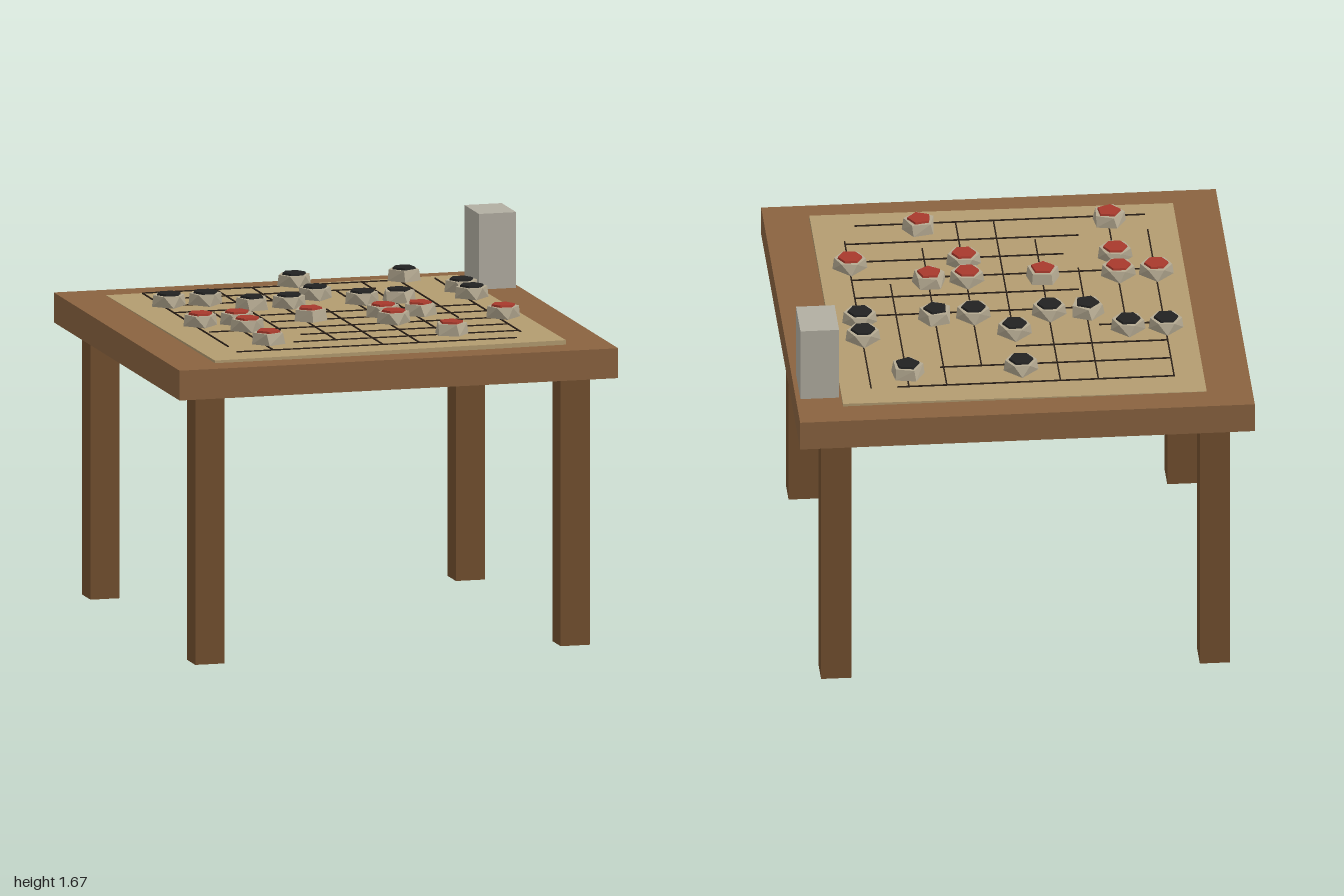
import * as THREE from 'three';
import { ConvexGeometry } from 'three/addons/geometries/ConvexGeometry.js';

const mat = (color) => new THREE.MeshStandardMaterial({ color, flatShading: true });
const WOOD = mat(0x8a6340), LEG = mat(0x73502f), BOARD = mat(0xb39c70), INK = mat(0x2a2018);
const STONE = mat(0xb5aa92), RED = mat(0xa8392c), BLACK = mat(0x222222), BOX = mat(0xb2aea2);

function box(name, w, h, d, x, y, z, material) {
  const mesh = new THREE.Mesh(new THREE.BoxGeometry(w, h, d), material);
  mesh.name = name;
  mesh.position.set(x, y, z);
  return mesh;
}

// Small seeded generator for the rough-cut pieces
let seed = 7;
const rand = () => (seed = (seed * 16807) % 2147483647) / 2147483647;

const ring = (n, r, y, turn) => Array.from({ length: n }, (_, i) => {
  const a = turn + (i / n) * Math.PI * 2;
  return new THREE.Vector3(r * Math.cos(a), y, r * Math.sin(a));
});

// Faceted playing piece with a coloured cap
function makePiece(col, z, sides, capMaterial) {
  const piece = new THREE.Group();
  piece.name = 'piece';
  const turn = sides === 5 ? rand() * 6 : 0;
  const body = new THREE.Mesh(new ConvexGeometry([
    ...ring(sides === 5 ? 5 : 4, 0.077, 0, turn),
    ...ring(sides, 0.07, 0.05, turn + rand() * 0.25),
  ]), STONE);
  body.name = 'pieceBody';
  const cap = new THREE.Mesh(new THREE.CylinderGeometry(0.052, 0.056, 0.014, sides), capMaterial);
  cap.name = 'pieceCap';
  cap.position.y = 0.052;
  cap.rotation.y = Math.PI / 2 - turn;
  piece.add(body, cap);
  piece.position.set(col / 6, 1.373, z);
  return piece;
}

export function createModel() {
  const model = new THREE.Group();
  model.name = 'boardGameTable';

  // Table
  model.add(box('tableTop', 2, 0.133, 2, 0, 1.2665, 0, WOOD));
  for (const sx of [-1, 1]) for (const sz of [-1, 1]) {
    model.add(box('leg', 0.133, 1.2, 0.133, sx * 0.833, 0.6, sz * 0.833, LEG));
  }

  // Slightly tilted board sheet
  const board = box('board', 1.6, 0.02, 1.73, 0, 1.335, 0, BOARD);
  board.rotation.set(-0.006, 0, 0.007);
  model.add(board);

  // Worn grid lines: [start, end] of each row, then of each column
  const rows = [[-0.667, 0.55], [-0.667, 0.35], [-0.667, 0], [-0.667, -0.38], [-0.32, 0.667],
    [-0.32, 0.667], [-0.65, 0.667], [-0.28, 0.667], [-0.36, 0.667], [-0.667, 0.61]];
  const columns = [[-0.75, 0.61], [-0.2, 0.75], [-0.75, 0.28], [-0.75, 0.56], [-0.15, 0.75],
    [-0.57, 0.75], [-0.75, 0.52], [-0.75, 0.2], [-0.75, 0.61]];
  const lines = new THREE.Group();
  lines.name = 'gridLines';
  rows.forEach(([a, b], i) => lines.add(
    box('rowLine', b - a, 0.005, 0.006, (a + b) / 2, 1.357, -0.75 + i / 6, INK)));
  columns.forEach(([a, b], i) => lines.add(
    box('columnLine', 0.006, 0.005, b - a, (i - 4) / 6, 1.3565, (a + b) / 2, INK)));
  model.add(lines);

  // Pieces: [column, z, sides]
  const black = [[0, -0.667, 6], [3, -0.667, 5], [-4, -0.333, 6], [-3, -0.333, 6], [0, -0.333, 6],
    [4, -0.333, 6], [-2, -0.167, 5], [-1, -0.167, 6], [1, -0.167, 6], [2, -0.167, 5], [4, -0.167, 6]];
  const red = [[-4, 0.167, 6], [-3, 0.167, 6], [-1, 0.167, 5], [1, 0.167, 6], [2, 0.167, 5],
    [-3, 0.333, 6], [1, 0.333, 6], [4, 0.333, 6], [-3, 0.667, 5], [2, 0.667, 5]];
  for (const p of black) model.add(makePiece(...p, BLACK));
  for (const p of red) model.add(makePiece(...p, RED));

  // Upright box on the table edge
  model.add(box('uprightBox', 0.17, 0.337, 0.23, 0.895, 1.5015, -0.667, BOX));
  return model;
}
